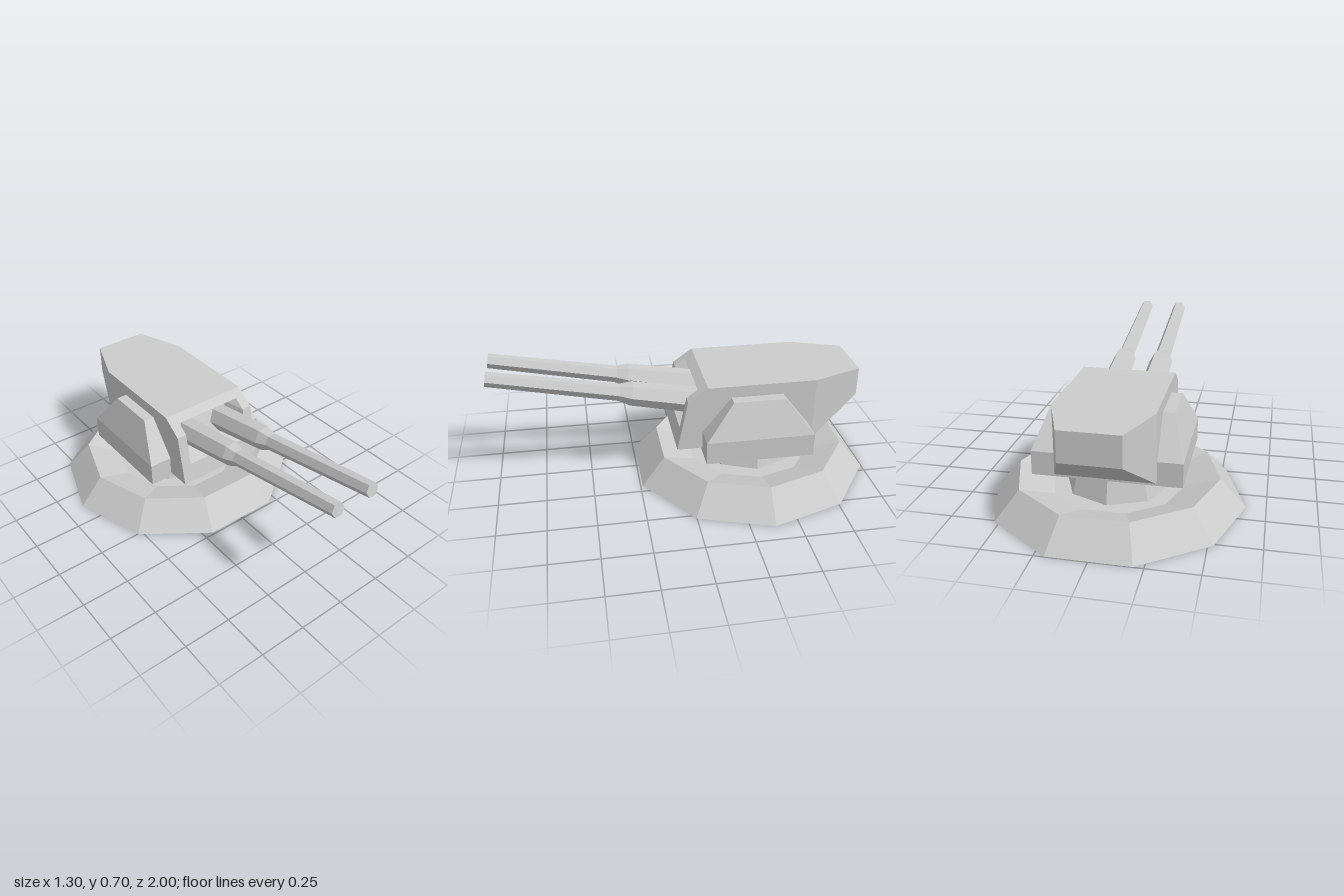
import * as THREE from 'three';

const grey = new THREE.MeshStandardMaterial({ color: 0xcccccc, flatShading: true });
const greyOpen = new THREE.MeshStandardMaterial({ color: 0xcccccc, flatShading: true, side: THREE.DoubleSide });
const AXIS_Z = -0.38; // turntable centre

function part(name, geometry, material = grey) {
  const mesh = new THREE.Mesh(geometry, material);
  mesh.name = name;
  return mesh;
}

// Skin a list of equal-length rings and cap both ends
function loft(rings) {
  const n = rings[0].length, index = [];
  for (let r = 0; r < rings.length - 1; r++) {
    for (let i = 0; i < n; i++) {
      const j = (i + 1) % n, a = r * n, b = a + n;
      index.push(a + i, a + j, b + j, a + i, b + j, b + i);
    }
  }
  const last = (rings.length - 1) * n;
  for (let i = 1; i < n - 1; i++) {
    index.push(0, i + 1, i, last, last + i, last + i + 1);
  }
  const g = new THREE.BufferGeometry();
  g.setAttribute('position', new THREE.Float32BufferAttribute(rings.flat(2), 3));
  g.setIndex(index);
  const flat = g.toNonIndexed();
  flat.computeVertexNormals();
  return flat;
}

// Symmetric six-point section: bottom, middle and top rows given as [y, z]
function section(w, [yb, zb], [ym, zm], [yt, zt]) {
  return [[-w, yb, zb], [w, yb, zb], [w, ym, zm], [w, yt, zt], [-w, yt, zt], [-w, ym, zm]];
}

// Horizontal rectangle for the cheek armour
function slab(w, y, front, back) {
  return [[-w, y, front], [w, y, front], [w, y, back], [-w, y, back]];
}

function lathe(profile, sides, start = 0) {
  return new THREE.LatheGeometry(profile.map(([r, y]) => new THREE.Vector2(r, y)), sides, start);
}

export function createModel() {
  const model = new THREE.Group();
  model.name = 'gunTurret';

  // Ten-sided base: open underneath, dished on top
  const base = part('base', lathe([[0.65, 0], [0.52, 0.145], [0.34, 0.085], [0, 0.085]], 10, Math.PI / 2), greyOpen);
  base.position.z = AXIS_Z;

  // Eight-sided neck
  const neck = part('neck', lathe([[0, 0.085], [0.265, 0.085], [0.23, 0.217], [0, 0.217]], 8));
  neck.position.z = AXIS_Z;
  model.add(base, neck);

  // Cheek armour, running across under the housing
  model.add(part('cheekArmour', loft([
    slab(0.365, 0.215, -0.078, -0.645),
    slab(0.365, 0.337, -0.078, -0.645),
    slab(0.3, 0.525, -0.225, -0.497),
  ])));

  // Housing from tapered rear to front frame, then into the gun recess
  model.add(part('housing', loft([
    section(0.145, [0.435, -0.938], [0.515, -0.938], [0.588, -0.938]),
    section(0.243, [0.24, -0.672], [0.515, -0.672], [0.588, -0.672]),
    section(0.243, [0.24, 0.055], [0.515, 0], [0.588, -0.103]),
    section(0.19, [0.342, 0.035], [0.515, 0], [0.557, -0.059]),
    section(0.15, [0.373, -0.06], [0.45, -0.09], [0.527, -0.12]),
  ])));

  // Twin six-sided barrels, raised about eleven degrees
  const length = 1.15;
  const barrelGeometry = lathe(
    [[0, 0], [0.071, 0], [0.063, 0.42], [0.045, 0.48], [0.038, length], [0, length]], 6, Math.PI / 2);
  barrelGeometry.translate(0, -length, 0); // muzzle at the origin
  for (const side of [1, -1]) {
    const barrel = part(side > 0 ? 'leftBarrel' : 'rightBarrel', barrelGeometry);
    barrel.position.set(side * 0.106, 0.663, 0.993);
    barrel.rotation.x = Math.PI / 2 - Math.atan(0.197);
    model.add(barrel);
  }
  return model;
}
